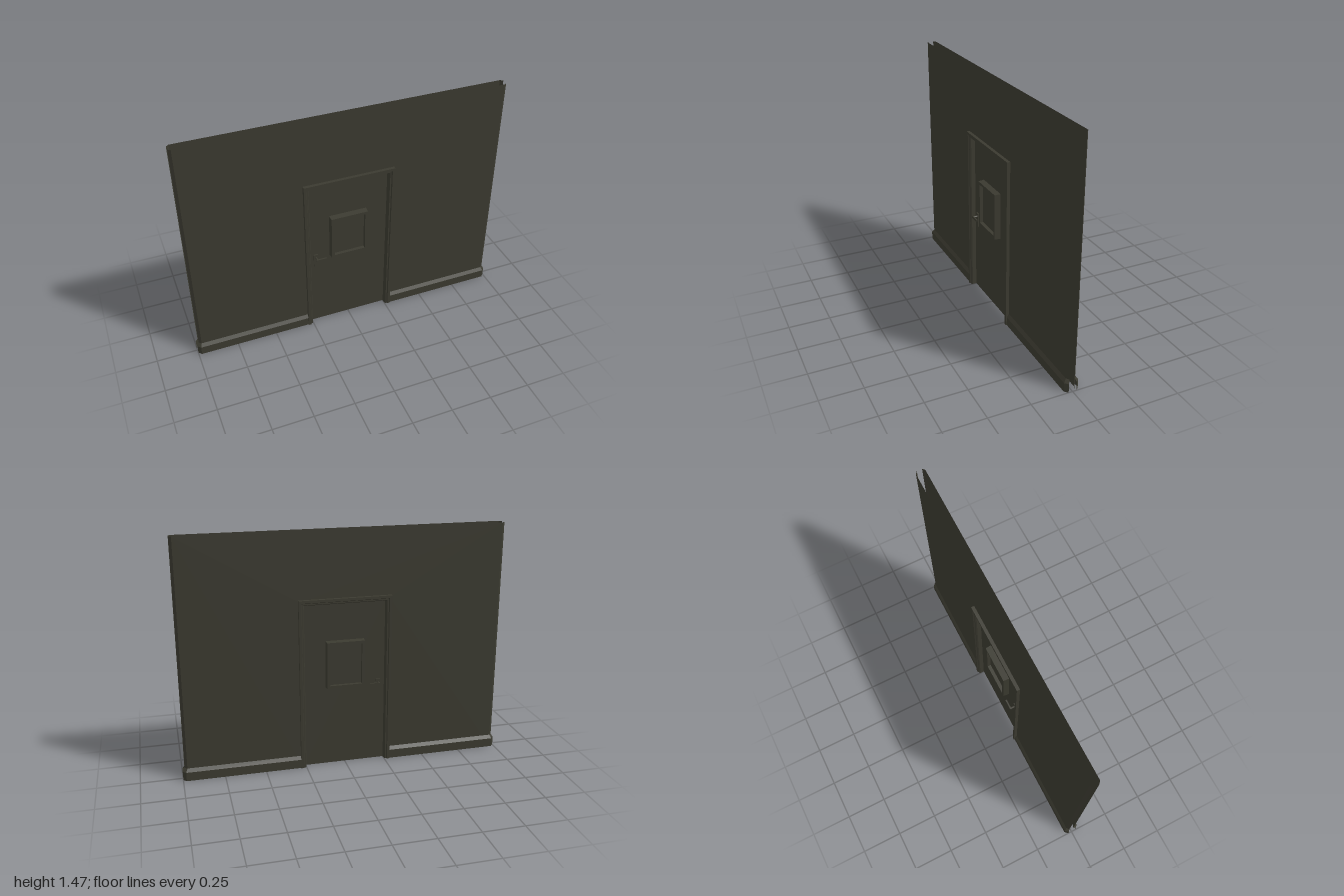
import * as THREE from 'three';

const paint = new THREE.MeshStandardMaterial({ color: 0x3b3a30, side: THREE.DoubleSide });
paint.name = 'dark olive paint';

function add(parent, name, geometry, x = 0, y = 0, z = 0) {
  const mesh = new THREE.Mesh(geometry, paint);
  mesh.name = name;
  mesh.position.set(x, y, z);
  parent.add(mesh);
  return mesh;
}

// Flat-shaded skin between successive cross-sections (equal-length lists of [x, y, z])
function loft(sections) {
  const pos = [];
  for (let i = 0; i < sections.length - 1; i++) {
    const a = sections[i], b = sections[i + 1];
    for (let j = 0; j < a.length - 1; j++) {
      pos.push(...a[j], ...b[j], ...b[j + 1], ...a[j], ...b[j + 1], ...a[j + 1]);
    }
  }
  const g = new THREE.BufferGeometry();
  g.setAttribute('position', new THREE.Float32BufferAttribute(pos, 3));
  g.computeVertexNormals();
  return g;
}

const polygon = (pts) => new THREE.ShapeGeometry(new THREE.Shape(pts.map(p => new THREE.Vector2(...p))));

const TOP = 1.466, WALL_Z = 0.029, FLAT = 0.972;
const FRAME_X = 0.283, FRAME_TOP = 1.065;

// One wall skin facing +z, with a doorway, angled ends and skirting
function wallSide(name) {
  const side = new THREE.Group();
  side.name = name;
  const hx = 0.27, hy = 1.05;
  add(side, 'wallPanel', polygon([
    [-FLAT, 0], [-hx, 0], [-hx, hy], [hx, hy], [hx, 0], [FLAT, 0], [FLAT, TOP], [-FLAT, TOP],
  ]), 0, 0, WALL_Z);

  for (const s of [-1, 1]) {
    // Angled wall end; sections run left to right so the outside faces forward
    const end = [[s * FLAT, WALL_Z], [s * 0.988, 0.016]];
    if (s < 0) end.reverse();
    add(side, 'wallEnd', loft(end.map(([x, z]) => [[x, 0, z], [x, TOP, z]])));

    // Skirting: vertical face with a sloped top, following the angled end
    const path = [
      { x: s * 0.27, z: 0.043, xi: s * 0.27, zi: WALL_Z },
      { x: s * 0.981, z: 0.043, xi: s * FLAT, zi: WALL_Z },
      { x: s, z: 0.024, xi: s * 0.988, zi: 0.016 },
    ];
    if (s < 0) path.reverse();
    add(side, 'skirting', loft(path.map(p => [
      [p.x, 0, p.z], [p.x, 0.055, p.z], [p.xi, 0.076, p.zi],
    ])));
  }
  return side;
}

// Door frame: moulded profile [inset, z] swept up, across and down
function doorFrame() {
  const group = new THREE.Group();
  group.name = 'doorFrame';
  const half = [[0, 0.049], [0.016, 0.049], [0.02, 0.042], [0.028, 0.042], [0.033, 0.034]];
  const profile = [...half, ...half.map(([d, z]) => [d, -z]).reverse()];
  const ring = [...profile, profile[0]];
  const section = (s, y) => ring.map(([d, z]) => [s * (FRAME_X - d), y === 0 ? 0 : y - d, z]);
  add(group, 'frameMoulding', loft([
    section(1, 0), section(1, FRAME_TOP), section(-1, FRAME_TOP), section(-1, 0),
  ]));
  // Foot caps close the two jambs at the floor
  for (const s of [-1, 1]) {
    const cap = polygon(profile.map(([d, z]) => [s * (FRAME_X - d), -z]));
    cap.rotateX(Math.PI / 2);
    cap.scale(1, 1, -1);
    add(group, 'jambFoot', cap);
  }
  return group;
}

// Raised window surround standing out on one side of the door, with a sunken pane
function windowSide(s) {
  const group = new THREE.Group();
  group.name = s > 0 ? 'frontWindow' : 'backWindow';
  const cx = -0.001, cy = 0.652;
  const loop = (hw, hh, z) =>
    [[-hw, -hh], [hw, -hh], [hw, hh], [-hw, hh], [-hw, -hh]].map(([x, y]) => [cx + x * s, cy + y, z * s]);
  const w = 0.119, h = 0.148, rim = 0.02;
  // Lists run outward to inward so the skin faces out
  const rings = [
    loop(w, h, 0.008), loop(w - 0.003, h - 0.003, 0.046),
    loop(w - rim, h - rim, 0.046), loop(w - rim, h - rim, 0.025),
  ];
  add(group, 'windowSurround', loft(rings.map(r => r.slice().reverse())));
  add(group, 'windowPane', new THREE.BoxGeometry(2 * (w - rim), 2 * (h - rim), 0.008), cx, cy, s * 0.021);
  return group;
}

// Back plate, spindle and lever on one side of the door
function handleSide(s) {
  const group = new THREE.Group();
  group.name = s > 0 ? 'frontHandle' : 'backHandle';
  add(group, 'handlePlate', new THREE.BoxGeometry(0.028, 0.09, 0.008), -0.21, 0.49, s * 0.012);
  const spindle = new THREE.CylinderGeometry(0.006, 0.006, 0.034, 8).rotateX(Math.PI / 2);
  add(group, 'handleSpindle', spindle, -0.21, 0.513, s * 0.029);
  add(group, 'handleLever', new THREE.BoxGeometry(0.066, 0.011, 0.009), -0.184, 0.513, s * 0.044);
  return group;
}

export function createModel() {
  const model = new THREE.Group();
  model.name = 'wallWithDoor';

  // Two matching wall skins, back to back
  const back = wallSide('backWall');
  back.rotation.y = Math.PI;
  model.add(wallSide('frontWall'), back);

  model.add(doorFrame());

  // Door leaf with fittings on both faces
  const door = new THREE.Group();
  door.name = 'door';
  add(door, 'doorLeaf', new THREE.BoxGeometry(0.51, 1.035, 0.018), 0, 0.5175, 0);
  for (const s of [1, -1]) door.add(windowSide(s), handleSide(s));
  model.add(door);

  return model;
}
